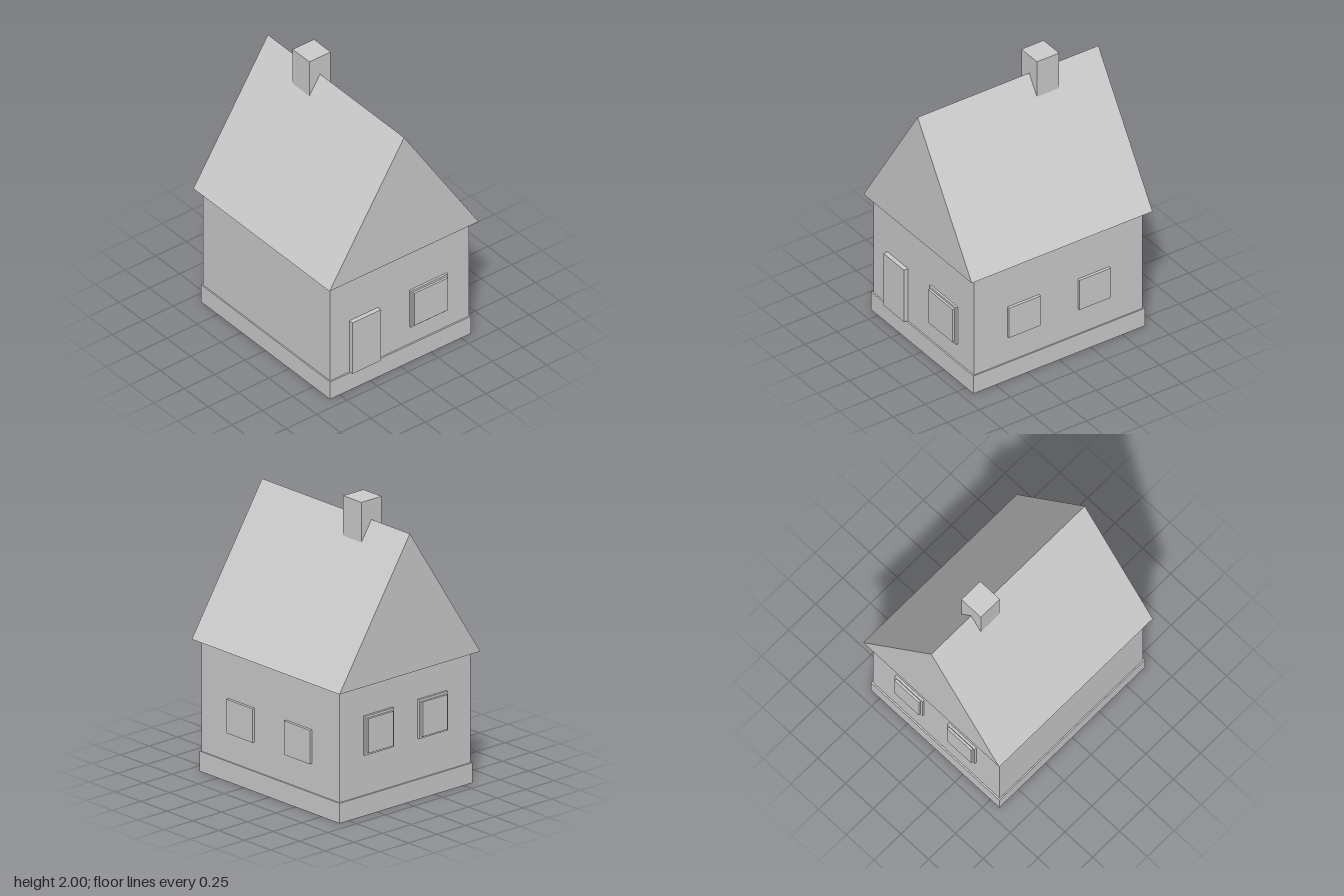
import * as THREE from 'three';

export function createModel() {
  const house = new THREE.Group();
  house.name = 'house';
  const plaster = new THREE.MeshStandardMaterial({ color: 0xcccccc });
  plaster.name = 'light grey';

  const add = (name, geometry, parent = house) => {
    const mesh = new THREE.Mesh(geometry, plaster);
    mesh.name = name;
    parent.add(mesh);
    return mesh;
  };
  // Box given by its extents on each axis
  const box = (name, [x0, x1], [y0, y1], [z0, z1], parent) =>
    add(name, new THREE.BoxGeometry(x1 - x0, y1 - y0, z1 - z0), parent)
      .position.set((x0 + x1) / 2, (y0 + y1) / 2, (z0 + z1) / 2);

  // Foundation and walls
  box('foundation', [-0.58, 0.58], [0, 0.138], [-0.675, 0.675]);
  box('walls', [-0.571, 0.571], [0.138, 0.905], [-0.664, 0.664]);

  // Solid gable roof with overhanging eaves
  const gable = new THREE.Shape([
    new THREE.Vector2(-0.614, 0.905),
    new THREE.Vector2(0.614, 0.905),
    new THREE.Vector2(0, 1.862),
  ]);
  add('roof', new THREE.ExtrudeGeometry(gable, { depth: 1.424, bevelEnabled: false }))
    .position.z = -0.712;

  // Chimney straddling the ridge
  box('chimney', [-0.088, 0.088], [1.68, 2], [-0.342, -0.167]);

  // Front door
  box('door', [-0.411, -0.178], [0.14, 0.549], [0.65, 0.696]);

  // Framed window with a raised pane, on the front (side 1) or back (side -1)
  const framedWindow = (name, x, y, w, h, side) => {
    const group = new THREE.Group();
    group.name = name;
    group.position.set(x, y, side * 0.664);
    if (side < 0) group.rotation.y = Math.PI;
    const inset = 0.016;
    box('windowFrame', [-w / 2, w / 2], [-h / 2, h / 2], [-0.01, 0.016], group);
    box('windowPane', [-w / 2 + inset, w / 2 - inset], [-h / 2 + inset, h / 2 - inset],
      [0, 0.032], group);
    house.add(group);
  };
  framedWindow('frontWindow', 0.235, 0.424, 0.307, 0.291, 1);
  for (const x of [-0.236, 0.236]) framedWindow('backWindow', x, 0.55, 0.25, 0.27, -1);

  // Plain windows on the left wall
  for (const z of [-0.277, 0.277]) {
    box('sideWindow', [0.55, 0.591], [0.337, 0.57], [z - 0.124, z + 0.124]);
  }
  return house;
}
